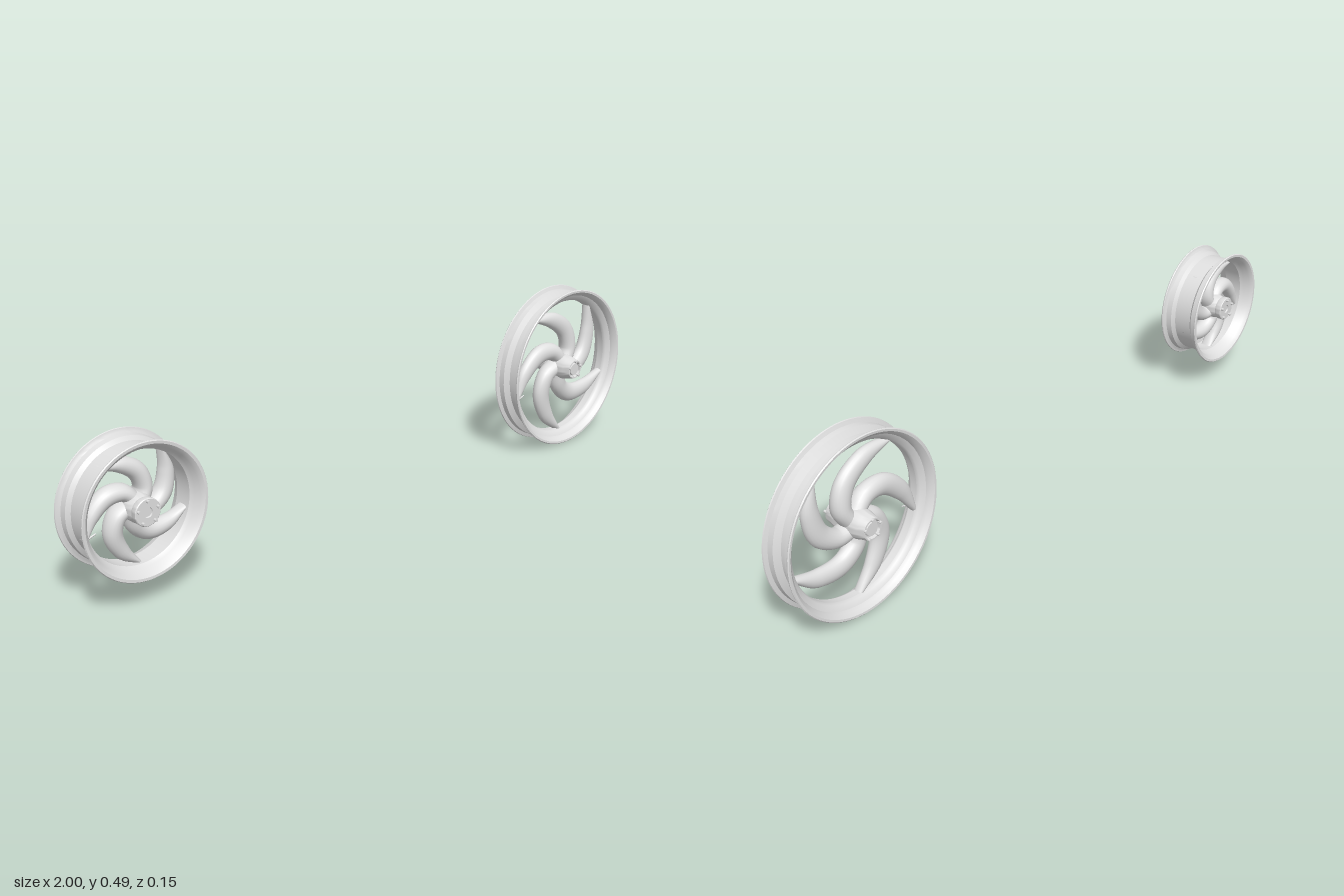
import * as THREE from 'three';
import { toCreasedNormals } from 'three/addons/utils/BufferGeometryUtils.js';

const metal = new THREE.MeshStandardMaterial({ color: 0xe0e0e0 });
metal.name = 'castMetal';

function part(name, geometry) {
  const mesh = new THREE.Mesh(geometry, metal);
  mesh.name = name;
  return mesh;
}

// Revolve [radius, z] points around the wheel axle (z)
function turned(points, segments) {
  const g = new THREE.LatheGeometry(points.map(([r, z]) => new THREE.Vector2(r, z)), segments);
  g.rotateX(Math.PI / 2);
  return toCreasedNormals(g, 0.6);
}

const flip = ([r, z]) => [r, -z];

// Closed rim section; outer and inner profiles each run from the edge to the middle
function rimGeometry(outer, inner) {
  const points = [
    ...outer.map(flip), ...[...outer].reverse(),
    ...inner, ...inner.map(flip).reverse(),
  ];
  points.push(points[0]);
  return turned(points, 80);
}

// Curved blade with oval sections; stations are [radius, degrees, half width, half depth]
function spokeGeometry(stations) {
  const around = 20, steps = 28;
  const path = new THREE.CatmullRomCurve3(stations.map(([r, deg]) => {
    const a = THREE.MathUtils.degToRad(deg);
    return new THREE.Vector3(r * Math.cos(a), r * Math.sin(a), 0);
  }));
  const sizes = new THREE.CatmullRomCurve3(stations.map((s) => new THREE.Vector3(s[2], s[3], 0)));
  const axle = new THREE.Vector3(0, 0, 1);
  const pos = [], index = [];
  for (let i = 0; i <= steps; i++) {
    const t = i / steps;
    const c = path.getPoint(t), size = sizes.getPoint(t);
    const side = new THREE.Vector3().crossVectors(axle, path.getTangent(t));
    for (let j = 0; j < around; j++) {
      const a = (j / around) * Math.PI * 2;
      const p = c.clone().addScaledVector(side, size.x * Math.cos(a));
      pos.push(p.x, p.y, size.y * Math.sin(a));
      if (i < steps) {
        const k = i * around + j, n = i * around + ((j + 1) % around);
        index.push(k, n, n + around, k, n + around, k + around);
      }
    }
  }
  const g = new THREE.BufferGeometry();
  g.setAttribute('position', new THREE.Float32BufferAttribute(pos, 3));
  g.setIndex(index);
  g.computeVertexNormals();
  return g;
}

function makeWheel(name, { outer, inner, stations, hub, boltCircle, boltZ, valveRadius }) {
  const wheel = new THREE.Group();
  wheel.name = name;
  wheel.add(part('rim', rimGeometry(outer, inner)));

  // Five swept spokes
  const spoke = spokeGeometry(stations);
  for (let i = 0; i < 5; i++) {
    const m = part('spoke', spoke);
    m.rotation.z = (i * Math.PI * 2) / 5;
    wheel.add(m);
  }

  // Hub barrel, the same at both ends
  wheel.add(part('hub', turned([...hub.map(flip), ...[...hub].reverse()], 40)));

  // Rings of bolts on both hub faces
  const bolt = new THREE.CylinderGeometry(0.004, 0.004, 0.012, 10);
  bolt.rotateX(Math.PI / 2);
  for (const side of [-1, 1]) {
    for (let i = 0; i < 5; i++) {
      const a = ((i + 0.25) * Math.PI * 2) / 5;
      const m = part('hubBolt', bolt);
      m.position.set(boltCircle * Math.cos(a), boltCircle * Math.sin(a), side * boltZ);
      wheel.add(m);
    }
  }

  // Valve stem pointing in from the rim
  const valve = part('valveStem', new THREE.CylinderGeometry(0.002, 0.003, 0.03, 8));
  const va = THREE.MathUtils.degToRad(198);
  valve.position.set(valveRadius * Math.cos(va), valveRadius * Math.sin(va), 0.012);
  valve.rotation.z = va + Math.PI / 2;
  wheel.add(valve);
  return wheel;
}

export function createModel() {
  const model = new THREE.Group();
  model.name = 'wheelPair';

  // Tall, narrow wheel
  const large = makeWheel('largeWheel', {
    outer: [[0.238, 0.045], [0.244, 0.0455], [0.2465, 0.043], [0.2455, 0.04], [0.24, 0.038],
      [0.235, 0.036], [0.234, 0.02], [0.218, 0.01]],
    inner: [[0.229, 0.036], [0.226, 0.026], [0.212, 0.018], [0.208, 0.01]],
    stations: [[0.02, 25, 0.022, 0.03], [0.065, 55, 0.026, 0.026], [0.112, 80, 0.029, 0.022],
      [0.16, 106, 0.025, 0.019], [0.212, 127, 0.007, 0.013]],
    hub: [[0, 0.064], [0.018, 0.064], [0.019, 0.056], [0.024, 0.056], [0.025, 0.066],
      [0.029, 0.066], [0.03, 0.062], [0.034, 0.045], [0.038, 0.03]],
    boltCircle: 0.026, boltZ: 0.066, valveRadius: 0.2,
  });
  large.position.set(0.753, 0.2465, 0);

  // Small, wide wheel
  const small = makeWheel('smallWheel', {
    outer: [[0.168, 0.0625], [0.175, 0.063], [0.177, 0.06], [0.176, 0.057], [0.168, 0.055],
      [0.164, 0.052], [0.162, 0.036], [0.152, 0.027]],
    inner: [[0.158, 0.053], [0.154, 0.036], [0.146, 0.026]],
    stations: [[0.018, 25, 0.02, 0.034], [0.052, 55, 0.022, 0.03], [0.085, 80, 0.024, 0.026],
      [0.117, 106, 0.02, 0.022], [0.149, 127, 0.005, 0.017]],
    hub: [[0, 0.061], [0.012, 0.061], [0.013, 0.065], [0.034, 0.065], [0.036, 0.063],
      [0.036, 0.05], [0.033, 0.044], [0.037, 0.03]],
    boltCircle: 0.029, boltZ: 0.067, valveRadius: 0.134,
  });
  small.position.set(-0.823, 0.2465, 0);

  model.add(large, small);
  return model;
}
